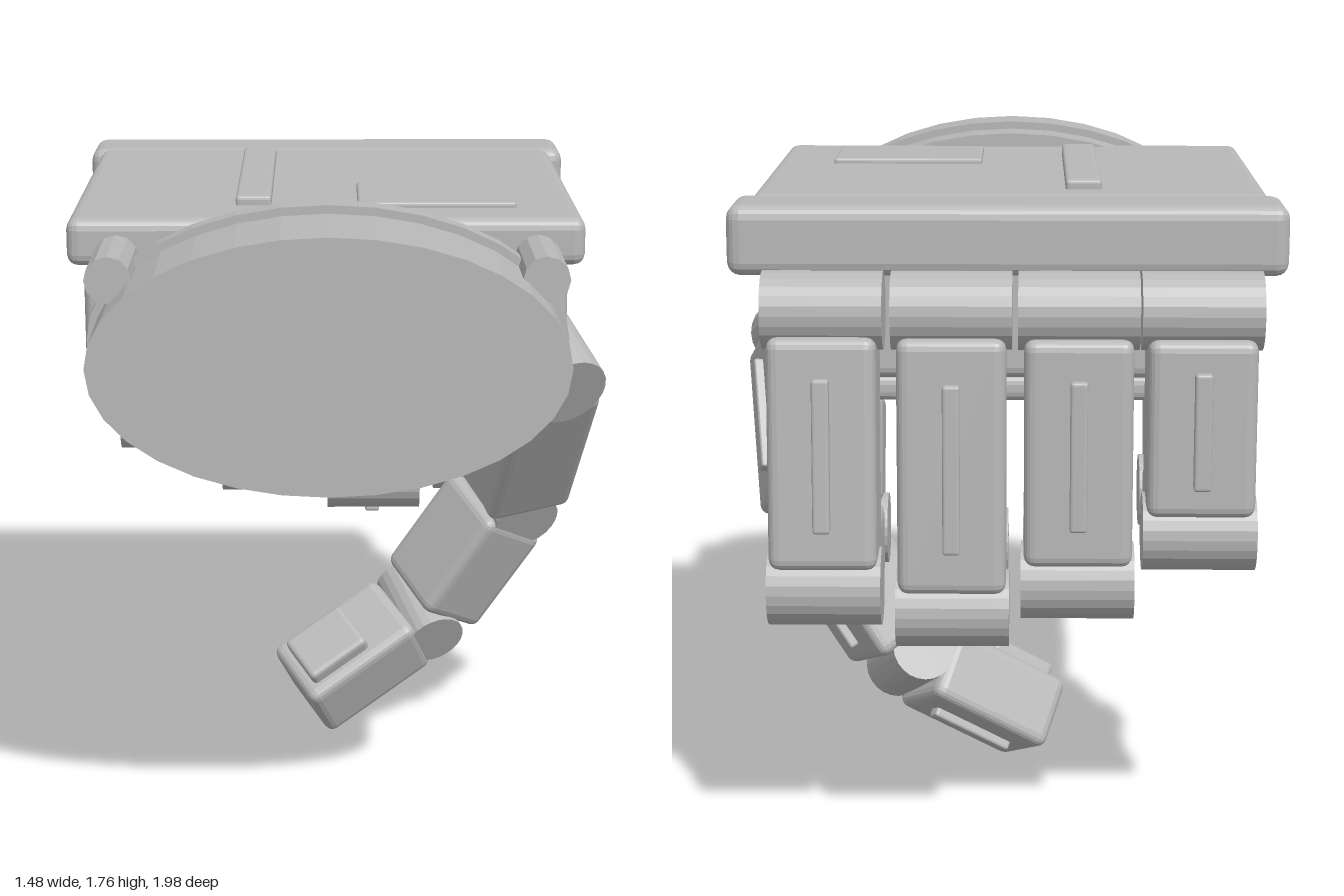
import * as THREE from 'three';
import { RoundedBoxGeometry } from 'three/addons/geometries/RoundedBoxGeometry.js';

const V = (x, y, z) => new THREE.Vector3(x, y, z);

export function createModel() {
  const hand = new THREE.Group();
  hand.name = 'roboticHand';
  const grey = new THREE.MeshStandardMaterial({ color: 0xb8b8b8 });
  grey.name = 'armourGrey';

  // Faceted mesh with crisp bevels
  function add(parent, name, geometry) {
    const g = geometry.index ? geometry.toNonIndexed() : geometry;
    g.computeVertexNormals();
    const mesh = new THREE.Mesh(g, grey);
    mesh.name = name;
    parent.add(mesh);
    return mesh;
  }

  // Bevelled block given by its extents
  function block(parent, name, x0, x1, y0, y1, z0, z1, bevel) {
    const mesh = add(parent, name, new RoundedBoxGeometry(x1 - x0, y1 - y0, z1 - z0, 2, bevel));
    mesh.position.set((x0 + x1) / 2, (y0 + y1) / 2, (z0 + z1) / 2);
    return mesh;
  }

  // Cylinder lying along z with an elliptical section
  function tube(name, x, y, rx, ry, z0, z1, sides) {
    const g = new THREE.CylinderGeometry(1, 1, z1 - z0, sides);
    g.rotateX(Math.PI / 2).scale(rx, ry, 1);
    add(hand, name, g).position.set(x, y, (z0 + z1) / 2);
  }

  // Wrist
  tube('wristCuff', -0.03, 1.412, 0.6, 0.328, 0.5, 1.0, 32);
  tube('wristRing', -0.03, 1.412, 0.62, 0.35, 0.63, 0.69, 32);
  for (const x of [-0.58, 0.515]) tube('wristRod', x, 1.6, 0.06, 0.06, 0.03, 0.84, 12);

  // Palm and back of the hand
  block(hand, 'palm', -0.665, 0.595, 1.24, 1.58, -0.7, 0.58, 0.03);
  block(hand, 'backPlate', -0.71, 0.64, 1.575, 1.7, -0.58, 0.56, 0.03);
  block(hand, 'knuckleGuard', -0.74, 0.68, 1.52, 1.7, -0.79, -0.55, 0.035);
  block(hand, 'palmPad', -0.62, 0.53, 1.15, 1.22, -0.56, 0.46, 0.025);
  block(hand, 'palmPadMount', -0.55, 0.46, 1.2, 1.26, -0.48, 0.38, 0.01);
  block(hand, 'backStrip', -0.275, -0.18, 1.69, 1.725, -0.46, 0.36, 0.01);
  block(hand, 'backPanel', 0.05, 0.47, 1.69, 1.715, 0.08, 0.4, 0.008);

  // A digit: joints at points, links between them, hinge axis along `hinge`
  function digit(name, points, hinge, widths, depths, radii, jointLengths) {
    const group = new THREE.Group();
    group.name = name;
    hand.add(group);
    const axis = hinge.clone().normalize();
    for (let i = 0; i < 3; i++) {
      // Joint barrel
      const barrel = add(group, 'joint', new THREE.CylinderGeometry(radii[i], radii[i], jointLengths[i], 24));
      barrel.position.copy(points[i]);
      barrel.quaternion.setFromUnitVectors(V(0, 1, 0), axis);

      // Link frame: x across, y towards the tip, z to the outer side
      const a = points[i], b = points[i + 1];
      const along = b.clone().sub(a);
      const span = along.length();
      along.normalize();
      const outer = axis.clone().cross(along).normalize();
      const across = along.clone().cross(outer);
      const link = new THREE.Group();
      link.name = ['lowerLink', 'middleLink', 'fingertip'][i];
      link.quaternion.setFromRotationMatrix(new THREE.Matrix4().makeBasis(across, along, outer));
      link.position.copy(a);
      group.add(link);

      const start = 0.06, end = i === 2 ? span : span - 0.06;
      const w = widths[i] / 2, d = depths[i] / 2, mid = (start + end) / 2;
      const strip = (end - start) * 0.33;
      block(link, 'linkShell', -w, w, start, end, -d, d, 0.028);
      block(link, 'linkStrip', -0.022, 0.022, mid - strip, mid + strip, d - 0.01, d + 0.025, 0.008);
      // Grip pad on the inner side of the fingertip
      if (i === 2) block(link, 'gripPad', -w * 0.68, w * 0.68, mid - 0.05, end - 0.04, -d - 0.04, -d + 0.02, 0.015);
    }
  }

  // Four curled fingers: x, then (z, y) of the knuckle, two joints and the tip
  const fingers = [
    ['littleFinger', -0.52, [-0.8, 1.44], [-0.8, 0.865], [-0.47, 0.89], [-0.38, 1.18]],
    ['ringFinger', -0.21, [-0.8, 1.44], [-0.805, 0.735], [-0.42, 0.77], [-0.31, 1.13]],
    ['middleFinger', 0.11, [-0.8, 1.44], [-0.825, 0.665], [-0.4, 0.72], [-0.28, 1.1]],
    ['indexFinger', 0.435, [-0.8, 1.44], [-0.85, 0.73], [-0.43, 0.77], [-0.32, 1.12]],
  ];
  for (const [name, x, ...path] of fingers) {
    digit(name, path.map(([z, y]) => V(x, y, z)), V(1, 0, 0),
      [0.275, 0.265, 0.25], [0.23, 0.21, 0.19], [0.1, 0.1, 0.095], [0.305, 0.29, 0.28]);
  }

  // Thumb
  digit('thumb',
    [V(0.58, 1.24, 0.16), V(0.51, 0.735, -0.21), V(0.25, 0.34, -0.25), V(-0.11, 0.115, -0.14)],
    V(0.34, -0.47, 0.81), [0.29, 0.27, 0.25], [0.26, 0.23, 0.21], [0.11, 0.1, 0.09], [0.32, 0.28, 0.26]);

  return hand;
}
